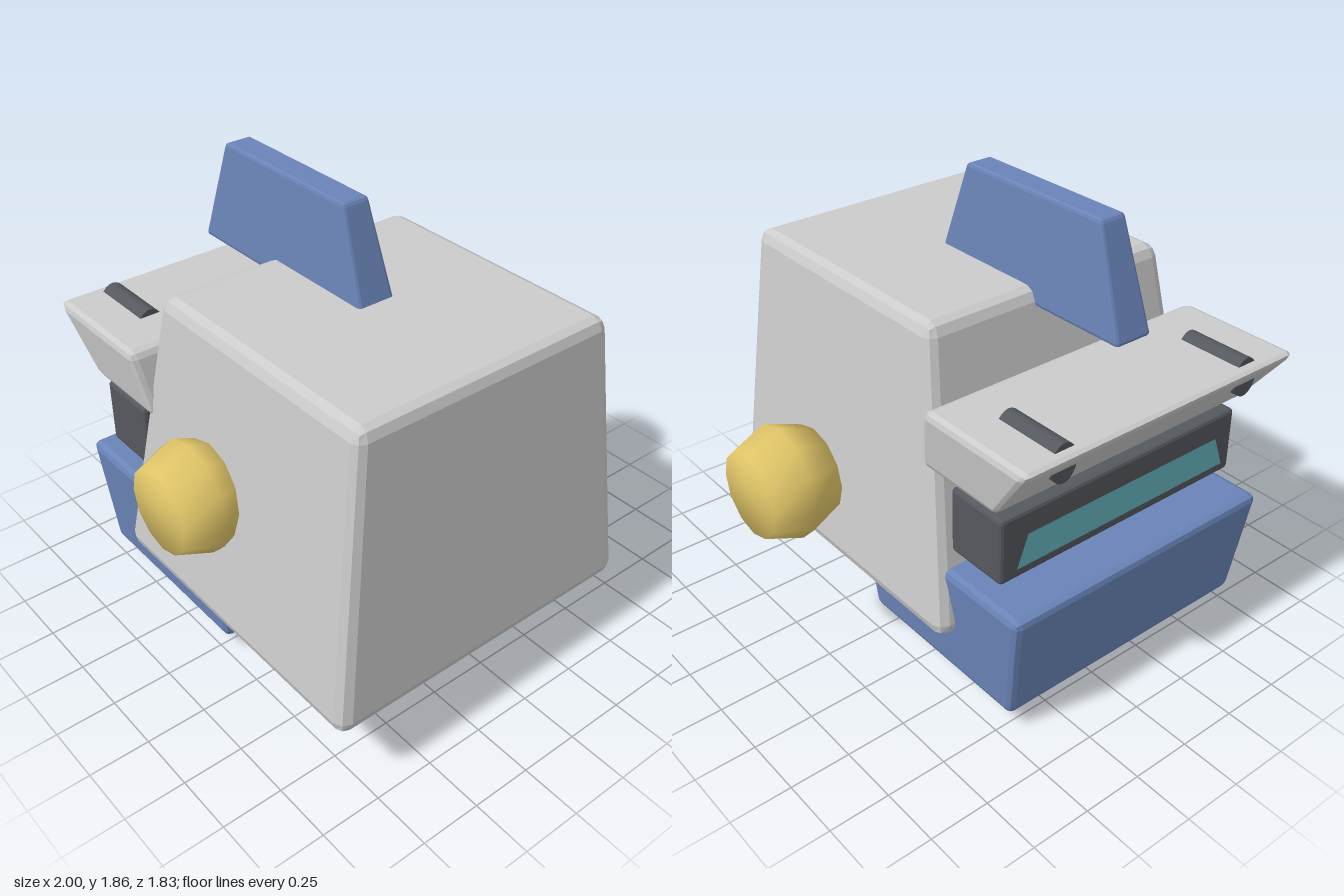
import * as THREE from 'three';
import { RoundedBoxGeometry } from 'three/addons/geometries/RoundedBoxGeometry.js';

const material = (color) => new THREE.MeshStandardMaterial({ color });
const CENTRE_X = -0.143;

// Bevelled box whose bottom and top rectangles differ; each is { w, z0, z1 }
function taperedBox(bottom, top, y0, y1, bevel) {
  const w = Math.max(bottom.w, top.w);
  const d = Math.max(bottom.z1 - bottom.z0, top.z1 - top.z0);
  const h = y1 - y0;
  const geometry = new RoundedBoxGeometry(w, h, d, 1, bevel);
  const p = geometry.attributes.position;
  const { lerp } = THREE.MathUtils;
  for (let i = 0; i < p.count; i++) {
    const t = p.getY(i) / h + 0.5;
    const x = (p.getX(i) / w) * lerp(bottom.w, top.w, t);
    const z = lerp(lerp(bottom.z0, top.z0, t), lerp(bottom.z1, top.z1, t), p.getZ(i) / d + 0.5);
    p.setXYZ(i, x, y0 + t * h, z);
  }
  geometry.computeVertexNormals();
  return geometry;
}

function lathe(points, segments) {
  return new THREE.LatheGeometry(points.map(([r, y]) => new THREE.Vector2(r, y)), segments);
}

export function createModel() {
  const model = new THREE.Group();
  const grey = material(0xcccccc);
  const blue = material(0x6a84b8);
  const dark = material(0x55585e);
  const yellow = material(0xe2c769);
  const teal = material(0x66b5c0);
  teal.side = THREE.DoubleSide;

  const add = (name, geometry, mat, x = CENTRE_X, y = 0, z = 0) => {
    const mesh = new THREE.Mesh(geometry, mat);
    mesh.name = name;
    mesh.position.set(x, y, z);
    model.add(mesh);
    return mesh;
  };

  // Head block, jaw, brow and crest
  add('head', taperedBox({ w: 1.42, z0: -0.5, z1: 0.92 }, { w: 1.14, z0: -0.28, z1: 0.85 }, 0.295, 1.5, 0.05), grey);
  add('jaw', taperedBox({ w: 1.22, z0: -0.79, z1: 0.06 }, { w: 1.29, z0: -0.86, z1: 0.12 }, 0.08, 0.575, 0.03), blue);
  add('brow', taperedBox({ w: 1.27, z0: -0.715, z1: -0.31 }, { w: 1.355, z0: -0.925, z1: -0.37 }, 0.97, 1.245, 0.03), grey);
  add('crest', taperedBox({ w: 0.17, z0: -0.72, z1: 0.28 }, { w: 0.115, z0: -0.58, z1: 0.14 }, 1.43, 1.86, 0.015), blue);

  // Eye housing with its lit strip
  const housing = { w: 1.21, z0: -0.72, z1: -0.44 };
  add('eyeHousing', taperedBox(housing, housing, 0.65, 0.93, 0.015), dark);
  const strip = new THREE.Shape([
    new THREE.Vector2(-0.54, 0.705), new THREE.Vector2(0.54, 0.705),
    new THREE.Vector2(0.49, 0.84), new THREE.Vector2(-0.49, 0.84),
  ]);
  add('eyeStrip', new THREE.ShapeGeometry(strip).rotateY(Math.PI), teal, CENTRE_X, 0, -0.735);

  // Brow pegs and ear knobs
  const peg = new THREE.CylinderGeometry(0.06, 0.06, 0.285, 24).rotateX(Math.PI / 2).scale(1, 1.35, 1);
  const knob = lathe([[0, -0.145], [0.172, -0.145], [0.226, 0], [0.172, 0.145], [0, 0.145]], 12).rotateZ(Math.PI / 2);
  for (const [side, s] of [['left', 1], ['right', -1]]) {
    add(`${side}BrowPeg`, peg, dark, CENTRE_X + s * 0.457, 1.19, -0.722);
    add(`${side}Ear`, knob, yellow, s * 0.855, 0.862, 0.062);
  }

  // Waisted neck
  add('neck', lathe([[0, 0], [0.427, 0], [0.37, 0.225], [0.42, 0.45], [0, 0.45]], 32), dark, CENTRE_X, 0, 0.065);

  return model;
}
